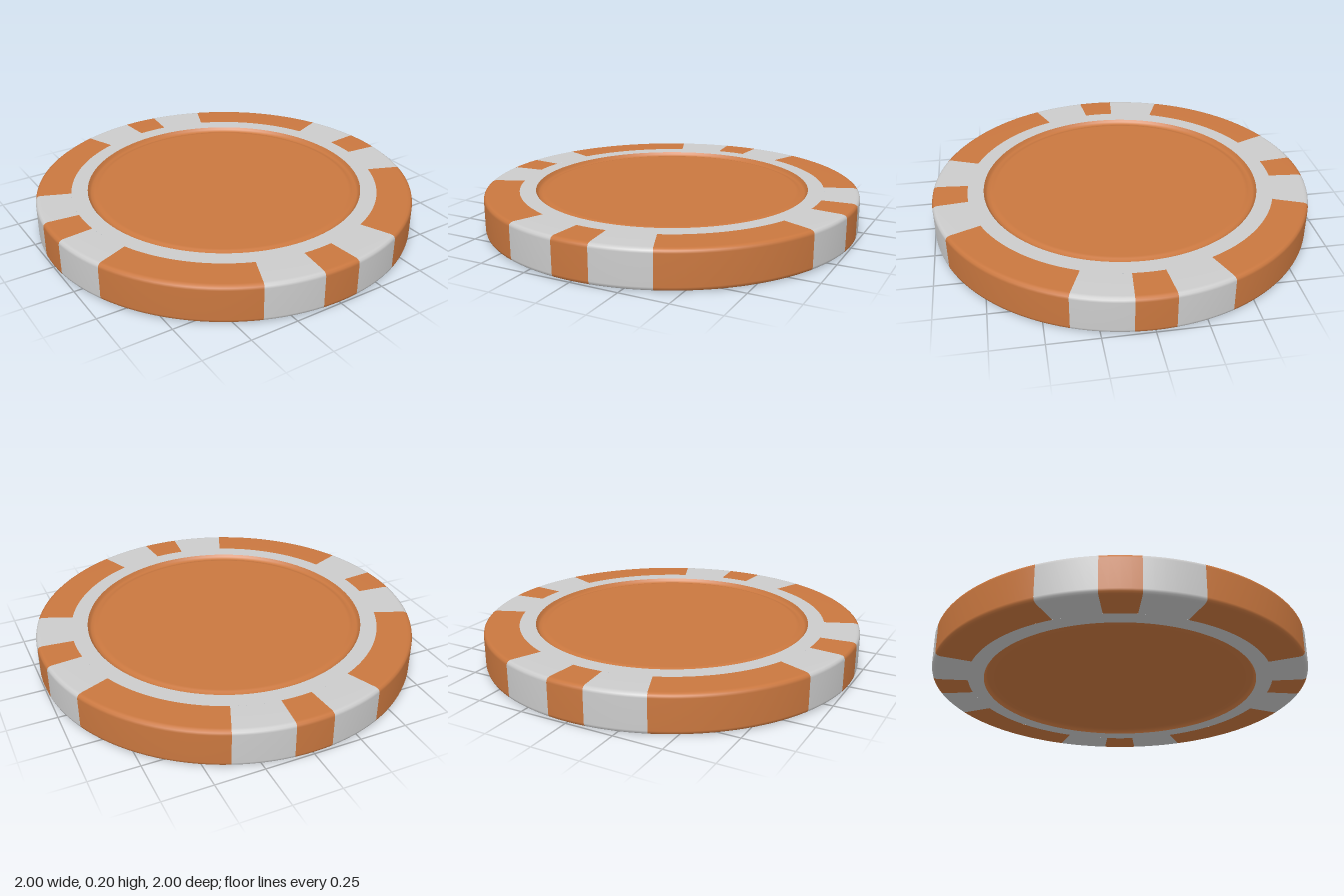
import * as THREE from 'three';

const H = 0.2;        // thickness
const R_FACE = 0.73;  // outer edge of the inset face
const R_SPOT = 0.815; // inner edge of the coloured rim blocks

const grey = new THREE.MeshStandardMaterial({ color: 0xcccccc });
const orange = new THREE.MeshStandardMaterial({ color: 0xc9773f });

// Revolve a profile of [radius, height] pairs through part of a turn (degrees, from +z).
function revolve(name, profile, material, start = 0, sweep = 360) {
  const points = profile.map(([r, y]) => new THREE.Vector2(r, y));
  const segments = Math.max(4, Math.round(sweep / 2.8));
  const rad = THREE.MathUtils.degToRad;
  const mesh = new THREE.Mesh(new THREE.LatheGeometry(points, segments, rad(start), rad(sweep)), material);
  mesh.name = name;
  return mesh;
}

// Turn an underside profile into the matching top profile.
const mirrorUp = (profile) => profile.map(([r, y]) => [r, H - y]).reverse();

export function createModel() {
  const chip = new THREE.Group();
  chip.name = 'pokerChip';

  // Central faces: flat disc, shallow groove, sloping lip
  const face = [[0, 0.012], [0.67, 0.012], [0.685, 0.014], [0.695, 0.022], [0.712, 0.022], [0.722, 0.012], [R_FACE, 0]];
  chip.add(revolve('bottomFace', face, orange), revolve('topFace', mirrorUp(face), orange));

  // Plain grey rings around the faces
  const ring = [[R_FACE, 0], [R_SPOT, 0]];
  chip.add(revolve('bottomRing', ring, grey), revolve('topRing', mirrorUp(ring), grey));

  // Rim blocks wrap over top, edge and underside, alternating in colour
  const lower = [[R_SPOT, 0], [0.975, 0], [0.988, 0.003], [0.997, 0.01], [1, 0.022]];
  const rim = [...lower, ...mirrorUp(lower)];
  const small = 5.6, large = 22.5;
  for (let q = 0; q < 4; q++) {
    const a = q * 90;
    chip.add(
      revolve('smallRimSpot', rim, orange, a - small, 2 * small),
      revolve('greyRimBlock', rim, grey, a + small, large - small),
      revolve('largeRimBlock', rim, orange, a + large, 90 - 2 * large),
      revolve('greyRimBlock', rim, grey, a + 90 - large, large - small),
    );
  }
  return chip;
}
